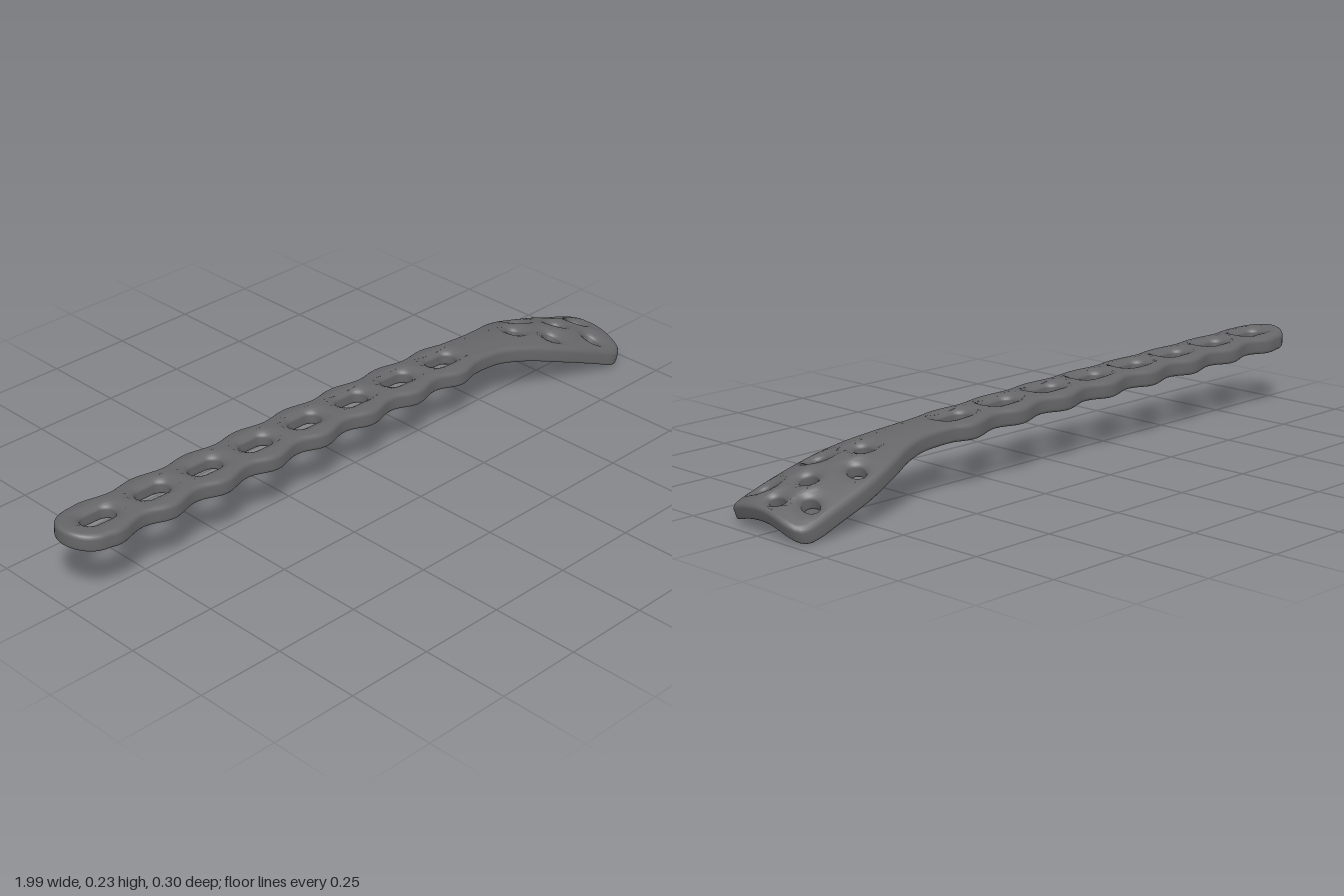
import * as THREE from 'three';
import { mergeVertices } from 'three/addons/utils/BufferGeometryUtils.js';

const THICK = 0.048, BEVEL = 0.012, AXIS_Z = -0.018;

// Holes: centre x, z, half straight length, radii
const holes = [];
for (let i = 0; i < 8; i++) holes.push({ x: -0.885 + i * 0.1755, z: AXIS_Z, s: 0.024, rx: 0.027, rz: 0.027 });
for (const [x, z, rx, rz] of [
  [0.658, -0.018, 0.022, 0.027], [0.743, -0.085, 0.023, 0.026], [0.743, 0.048, 0.023, 0.026],
  [0.84, -0.016, 0.023, 0.025], [0.904, -0.095, 0.022, 0.026], [0.893, 0.077, 0.022, 0.026],
  [0.941, -0.016, 0.017, 0.025],
]) holes.push({ x, z, s: 0, rx, rz });

const v2 = (x, z) => new THREE.Vector2(x, -z);

// Plan outline: scalloped shaft, flared head, round tail
function planShape() {
  const pts = [];
  const half = x => 0.079 + 0.009 * Math.cos((x + 0.885) / 0.1755 * Math.PI * 2);
  const N = 76, x0 = -0.915, x1 = 0.41;
  for (let i = 0; i <= N; i++) {
    const x = x0 + (x1 - x0) * i / N;
    pts.push(v2(x, AXIS_Z - half(x)));
  }
  const head = new THREE.SplineCurve([
    [0.44, -0.088], [0.51, -0.088], [0.58, -0.102], [0.65, -0.126], [0.75, -0.147], [0.86, -0.154],
    [0.94, -0.155], [0.978, -0.142], [0.994, -0.1], [0.991, -0.015], [0.984, 0.06], [0.968, 0.12],
    [0.932, 0.141], [0.88, 0.137], [0.79, 0.124], [0.7, 0.106], [0.58, 0.07], [0.51, 0.054], [0.44, 0.052],
  ].map(p => v2(...p)));
  pts.push(...head.getSpacedPoints(80));
  for (let i = N; i >= 0; i--) {
    const x = x0 + (x1 - x0) * i / N;
    pts.push(v2(x, AXIS_Z + half(x)));
  }
  for (let i = 1; i < 20; i++) {
    const a = Math.PI * i / 20;
    pts.push(v2(x0 - 0.085 * Math.sin(a), AXIS_Z + half(x0) * Math.cos(a)));
  }
  const shape = new THREE.Shape(pts);
  // The outline runs clockwise, the holes counter-clockwise
  for (const h of holes) {
    const ring = [];
    for (let k = 0; k < 24; k++) {
      const a = (k + 0.5) / 24 * Math.PI * 2, c = Math.cos(a);
      ring.push(v2(h.x + Math.sign(c) * h.s + h.rx * c, h.z - h.rz * Math.sin(a)));
    }
    shape.holes.push(new THREE.Path(ring));
  }
  return shape;
}

// Split long edges at their midpoints so the slab can bend smoothly
function subdivide(geometry, maxLength) {
  const p = geometry.attributes.position, stack = [], out = [];
  const at = i => new THREE.Vector3().fromBufferAttribute(p, i);
  for (let i = 0; i < p.count; i += 3) stack.push([at(i), at(i + 1), at(i + 2)]);
  while (stack.length) {
    let [a, b, c] = stack.pop();
    const ab = a.distanceTo(b), bc = b.distanceTo(c), ca = c.distanceTo(a);
    if (bc >= ab && bc >= ca) [a, b, c] = [b, c, a];
    else if (ca >= ab && ca >= bc) [a, b, c] = [c, a, b];
    if (a.distanceTo(b) > maxLength) {
      const m = a.clone().add(b).multiplyScalar(0.5);
      stack.push([a, m, c], [m, b, c]);
    } else {
      for (const q of [a, b, c]) out.push(q.x, q.y, q.z);
    }
  }
  const result = new THREE.BufferGeometry();
  result.setAttribute('position', new THREE.Float32BufferAttribute(out, 3));
  return result;
}

// Height of the top centreline along x
const heights = [[-1, 0.23], [-0.5, 0.221], [0, 0.21], [0.4, 0.194], [0.55, 0.184],
  [0.7, 0.162], [0.85, 0.124], [1, 0.073]];
function topHeight(x) {
  let i = 0;
  while (i < heights.length - 2 && x > heights[i + 1][0]) i++;
  const slope = k => {
    const a = heights[Math.max(k - 1, 0)], b = heights[Math.min(k + 1, heights.length - 1)];
    return (b[1] - a[1]) / (b[0] - a[0]);
  };
  const [xa, ya] = heights[i], [xb, yb] = heights[i + 1], w = xb - xa, t = (x - xa) / w;
  return ya * (1 + 2 * t) * (1 - t) ** 2 + w * slope(i) * t * (1 - t) ** 2
    + yb * t * t * (3 - 2 * t) + w * slope(i + 1) * t * t * (t - 1);
}

// Shallow dish around each hole on the upper face
function dish(x, z) {
  let depth = 0;
  for (const h of holes) {
    const dx = Math.max(Math.abs(x - h.x) - h.s, 0);
    const d = Math.hypot(dx, z - h.z) - (h.rx + h.rz) / 2;
    const t = THREE.MathUtils.clamp(1 - d / 0.028, 0, 1);
    depth = Math.max(depth, 0.009 * t * t * (3 - 2 * t));
  }
  return depth;
}

// Drop away from the centreline, stronger towards the head
function arch(x, z) {
  const t = THREE.MathUtils.smoothstep(x, 0.45, 0.85);
  return THREE.MathUtils.lerp(1.4, 2, t) * (z - THREE.MathUtils.lerp(AXIS_Z, -0.008, t)) ** 2;
}

export function createModel() {
  const steel = new THREE.MeshStandardMaterial({ color: 0x666668 });
  steel.name = 'dark steel';

  const slab = new THREE.ExtrudeGeometry(planShape(), {
    depth: THICK - 2 * BEVEL, steps: 1, bevelEnabled: true, bevelThickness: BEVEL,
    bevelSize: BEVEL, bevelOffset: -BEVEL, bevelSegments: 4,
  });
  slab.translate(0, 0, BEVEL).rotateX(-Math.PI / 2);

  // Bend along the length, arch across the width
  const geometry = mergeVertices(subdivide(slab, 0.022), 1e-5);
  const p = geometry.attributes.position;
  for (let i = 0; i < p.count; i++) {
    const x = p.getX(i), y = p.getY(i), z = p.getZ(i);
    const slope = (topHeight(x + 0.005) - topHeight(x - 0.005)) / 0.01;
    const below = THICK - y + dish(x, z) * THREE.MathUtils.clamp(y / THICK, 0, 1);
    const n = Math.hypot(1, slope);
    p.setXYZ(i, x + below * slope / n, topHeight(x) - arch(x, z) - below / n, z);
  }

  // Centre the plate and stand it on the ground
  geometry.computeBoundingBox();
  const box = geometry.boundingBox, c = box.getCenter(new THREE.Vector3());
  geometry.translate(-c.x, -box.min.y, -c.z);
  geometry.computeVertexNormals();

  const plate = new THREE.Mesh(geometry, steel);
  plate.name = 'perforated plate';
  const group = new THREE.Group();
  group.name = 'bone plate';
  group.add(plate);
  return group;
}
